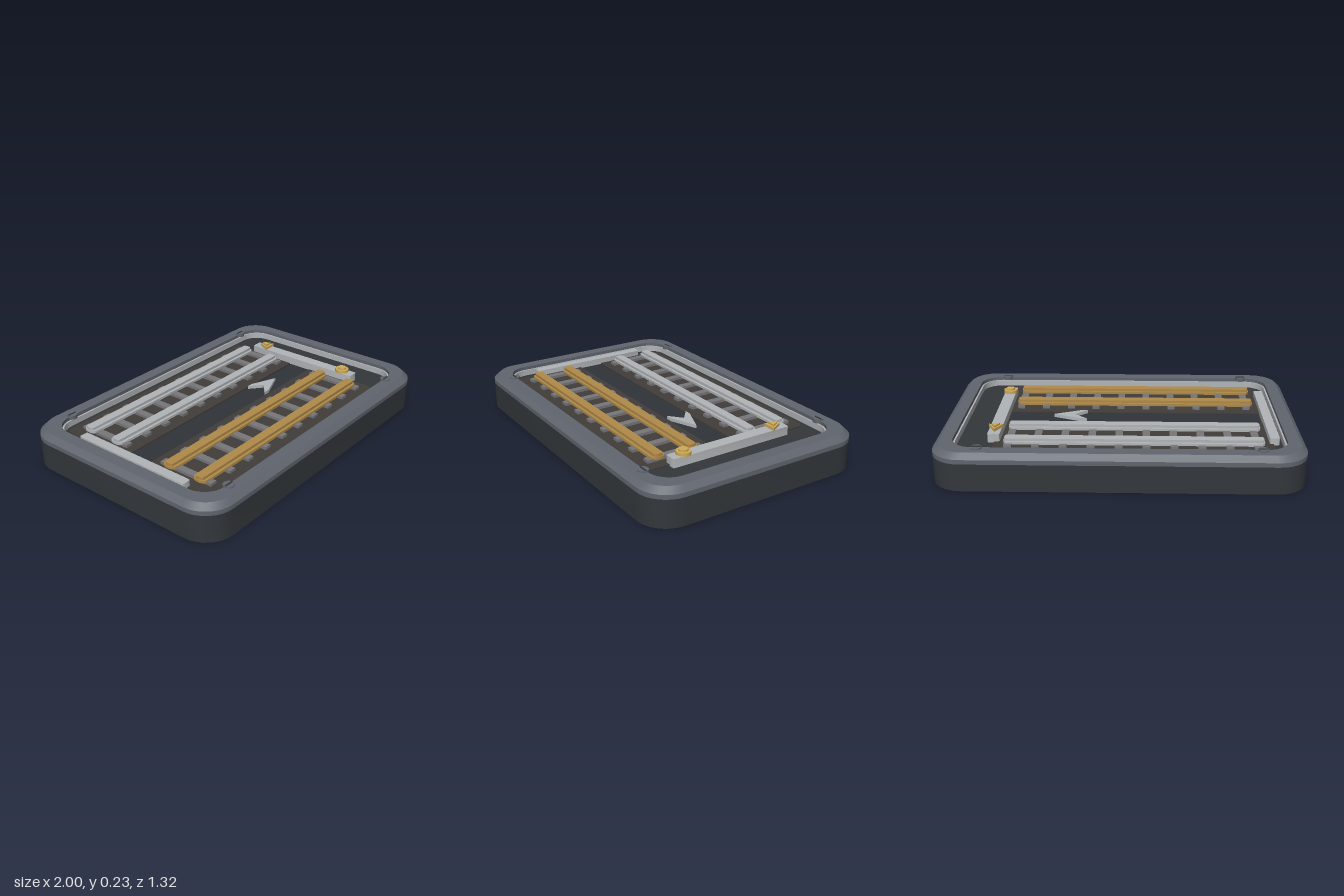
import * as THREE from 'three';
import { toCreasedNormals } from 'three/addons/utils/BufferGeometryUtils.js';

const mat = (color) => new THREE.MeshStandardMaterial({ color });

// Points of a rounded rectangle, anticlockwise
function roundedPoints(hx, hz, r, steps = 8) {
  const pts = [];
  for (let k = 0; k < 4; k++) {
    const sx = k === 0 || k === 3 ? 1 : -1;
    const sy = k < 2 ? 1 : -1;
    for (let s = 0; s <= steps; s++) {
      const a = (k + s / steps) * Math.PI / 2;
      pts.push(new THREE.Vector2(sx * (hx - r) + r * Math.cos(a), sy * (hz - r) + r * Math.sin(a)));
    }
  }
  return pts;
}

// Flat outline raised from y0 to y1
function slab(points, y0, y1) {
  const g = new THREE.ExtrudeGeometry(new THREE.Shape(points), { depth: y1 - y0, bevelEnabled: false });
  g.rotateX(-Math.PI / 2).translate(0, y0, 0);
  return toCreasedNormals(g, 0.5);
}

// Closed ring swept round the case; each profile row is [hx, hz, radius, y]
function ring(profile) {
  const pos = [], idx = [];
  const n = roundedPoints(1, 1, 0.1).length, m = profile.length;
  for (const [hx, hz, r, y] of profile) {
    for (const p of roundedPoints(hx, hz, r)) pos.push(p.x, y, -p.y);
  }
  for (let i = 0; i < m; i++) {
    for (let j = 0; j < n; j++) {
      const i2 = (i + 1) % m, j2 = (j + 1) % n;
      const a = i * n + j, b = i * n + j2, c = i2 * n + j2, d = i2 * n + j;
      idx.push(a, b, c, a, c, d);
    }
  }
  const g = new THREE.BufferGeometry();
  g.setAttribute('position', new THREE.Float32BufferAttribute(pos, 3));
  g.setIndex(idx);
  return toCreasedNormals(g, 0.5);
}

export function createModel() {
  const model = new THREE.Group();
  const dark = mat(0x33373b), floorMat = mat(0x303338), rimMat = mat(0x60656e), bedMat = mat(0x403d39);
  const silver = mat(0xb2b5b8), sleeperMat = mat(0x77777a), brass = mat(0xb08a48), gold = mat(0xd0ab58);

  const add = (name, geometry, material, x = 0, y = 0, z = 0, parent = model) => {
    const mesh = new THREE.Mesh(geometry, material);
    mesh.name = name;
    mesh.position.set(x, y, z);
    parent.add(mesh);
    return mesh;
  };

  // Case, chamfered rim and inner trim
  add('base', slab(roundedPoints(1, 0.66, 0.17), 0, 0.155), dark);
  add('rim', ring([
    [1, 0.66, 0.17, 0.155], [1, 0.66, 0.17, 0.18], [0.97, 0.63, 0.15, 0.21],
    [0.9, 0.56, 0.12, 0.21], [0.9, 0.56, 0.12, 0.155],
  ]), rimMat);
  add('innerTrim', ring([
    [0.9, 0.56, 0.12, 0.155], [0.9, 0.56, 0.12, 0.19],
    [0.89, 0.55, 0.11, 0.19], [0.89, 0.55, 0.11, 0.155],
  ]), silver);

  // Strip between the tracks
  add('centreStrip', new THREE.BoxGeometry(1.47, 0.006, 0.14), floorMat, -0.075, 0.156, 0);

  // Two tracks: bed, sleepers and a pair of stepped rails
  const bed = slab(roundedPoints(0.765, 0.222, 0.035, 4), 0.15, 0.163);
  const sleeper = new THREE.BoxGeometry(0.042, 0.018, 0.34);
  const foot = slab(roundedPoints(0.71, 0.042, 0.03, 3), 0.174, 0.188);
  const head = slab(roundedPoints(0.705, 0.026, 0.015, 3), 0.188, 0.203);
  for (const [name, z, railMat] of [['backTrack', -0.297, silver], ['frontTrack', 0.293, brass]]) {
    const track = new THREE.Group();
    track.name = name;
    track.position.z = z;
    model.add(track);
    add('trackBed', bed, bedMat, -0.075, 0, 0, track);
    for (let i = 0; i < 10; i++) add('sleeper', sleeper, sleeperMat, -0.745 + i * 0.15, 0.17, 0, track);
    for (const side of [-1, 1]) {
      add('railFoot', foot, railMat, -0.077, 0, side * 0.102, track);
      add('railHead', head, railMat, -0.077, 0, side * 0.102, track);
    }
  }

  // Cross bars at both ends
  add('rightBar', slab(roundedPoints(0.027, 0.375, 0.008, 2), 0.155, 0.195), silver, -0.845);
  add('leftBar', slab(roundedPoints(0.034, 0.375, 0.008, 2), 0.155, 0.205), silver, 0.693);

  // Round and triangular markers on the left bar
  const disc = (r, h, sides = 24) => new THREE.CylinderGeometry(r, r, h, sides);
  add('roundMarker', disc(0.041, 0.02), gold, 0.693, 0.212, 0.293);
  add('roundMarkerCap', disc(0.025, 0.012), gold, 0.693, 0.227, 0.293);
  const triangle = (s) => [[0, 0.043], [-0.04, -0.03], [0.04, -0.03]].map(([x, y]) => new THREE.Vector2(x * s, y * s));
  add('triangleMarker', slab(triangle(1), 0.202, 0.222), gold, 0.693, 0, -0.297);
  add('triangleMarkerCap', slab(triangle(0.6), 0.222, 0.233), gold, 0.693, 0, -0.297);

  // Direction arrow
  const arrow = [[0.395, 0], [0.24, 0.064], [0.2, 0.064], [0.275, 0], [0.2, -0.064], [0.24, -0.064]];
  add('arrow', slab(arrow.map(([x, y]) => new THREE.Vector2(x, -y)), 0.155, 0.178), silver);

  // Slotted screws on the rim
  for (const x of [-0.755, 0.75]) {
    for (const z of [-0.568, 0.568]) {
      add('screw', disc(0.03, 0.022, 16), rimMat, x, 0.206, z);
      add('screwSlot', new THREE.BoxGeometry(0.05, 0.004, 0.008), dark, x, 0.218, z);
    }
  }
  return model;
}
